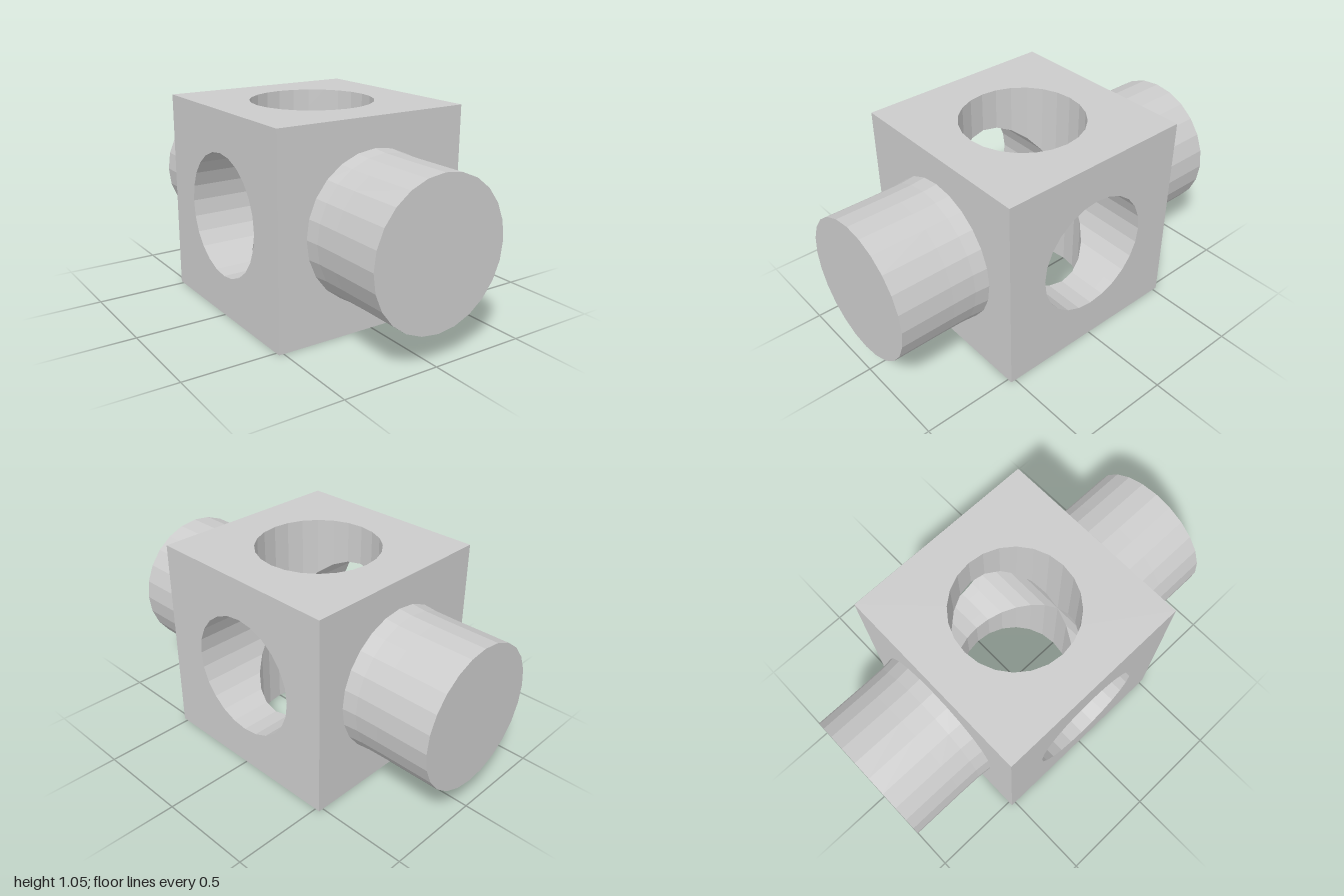
import * as THREE from 'three';

const H = 0.525;      // half the block's edge
const BORE = 0.315;   // radius of the through holes
const PIN = 0.365;    // radius of the round pins
const ROOT = 0.374;   // pin radius where it flares into the block
const SIDES = 24;

const material = new THREE.MeshStandardMaterial({ color: 0xcccccc, flatShading: true });

// Square face with a round hole, lying at z = H and facing +z
function faceGeometry(radius) {
  const shape = new THREE.Shape();
  shape.moveTo(-H, -H).lineTo(H, -H).lineTo(H, H).lineTo(-H, H).closePath();
  const hole = new THREE.Path();
  hole.absarc(0, 0, radius, 0, Math.PI * 2, true);
  shape.holes.push(hole);
  return new THREE.ShapeGeometry(shape, SIDES / 2).translate(0, 0, H);
}

// Inner wall of one bore arm along +z, cut off where it meets the crossing bore
function boreGeometry() {
  const geo = new THREE.CylinderGeometry(BORE, BORE, 1, SIDES, 4, true);
  geo.rotateX(Math.PI / 2);
  const p = geo.attributes.position;
  for (let i = 0; i < p.count; i++) {
    const start = Math.abs(p.getY(i));
    p.setZ(i, THREE.MathUtils.lerp(start, H, p.getZ(i) + 0.5));
  }
  geo.scale(-1, 1, 1); // turns the wall to face inwards
  geo.computeVertexNormals();
  return geo;
}

// Solid pin along +z with a slight flare at its root
function pinGeometry() {
  const profile = [[ROOT, H], [PIN + 0.002, 0.6], [PIN, 0.72], [PIN, 1], [0, 1]]
    .map(([r, y]) => new THREE.Vector2(r, y));
  return new THREE.LatheGeometry(profile, SIDES).rotateX(Math.PI / 2);
}

export function createModel() {
  const model = new THREE.Group();
  const add = (parent, name, geometry) => {
    const mesh = new THREE.Mesh(geometry, material);
    mesh.name = name;
    parent.add(mesh);
  };

  // Four bored sides around the z axis: left, top, right, bottom
  ['left', 'top', 'right', 'bottom'].forEach((side, k) => {
    const arm = new THREE.Group();
    arm.name = side + 'Side';
    for (const [name, geo] of [['Face', faceGeometry(BORE)], ['Bore', boreGeometry()]]) {
      add(arm, side + name, geo.rotateY(Math.PI / 2));
    }
    arm.rotation.z = k * Math.PI / 2;
    model.add(arm);
  });

  // Front and back sides, each carrying a pin
  ['front', 'back'].forEach((side, k) => {
    const end = new THREE.Group();
    end.name = side + 'Side';
    add(end, side + 'Face', faceGeometry(ROOT));
    add(end, side + 'Pin', pinGeometry());
    end.rotation.y = k * Math.PI;
    model.add(end);
  });

  // Stand the block on the ground
  model.children.forEach((part) => { part.position.y = H; });
  return model;
}
